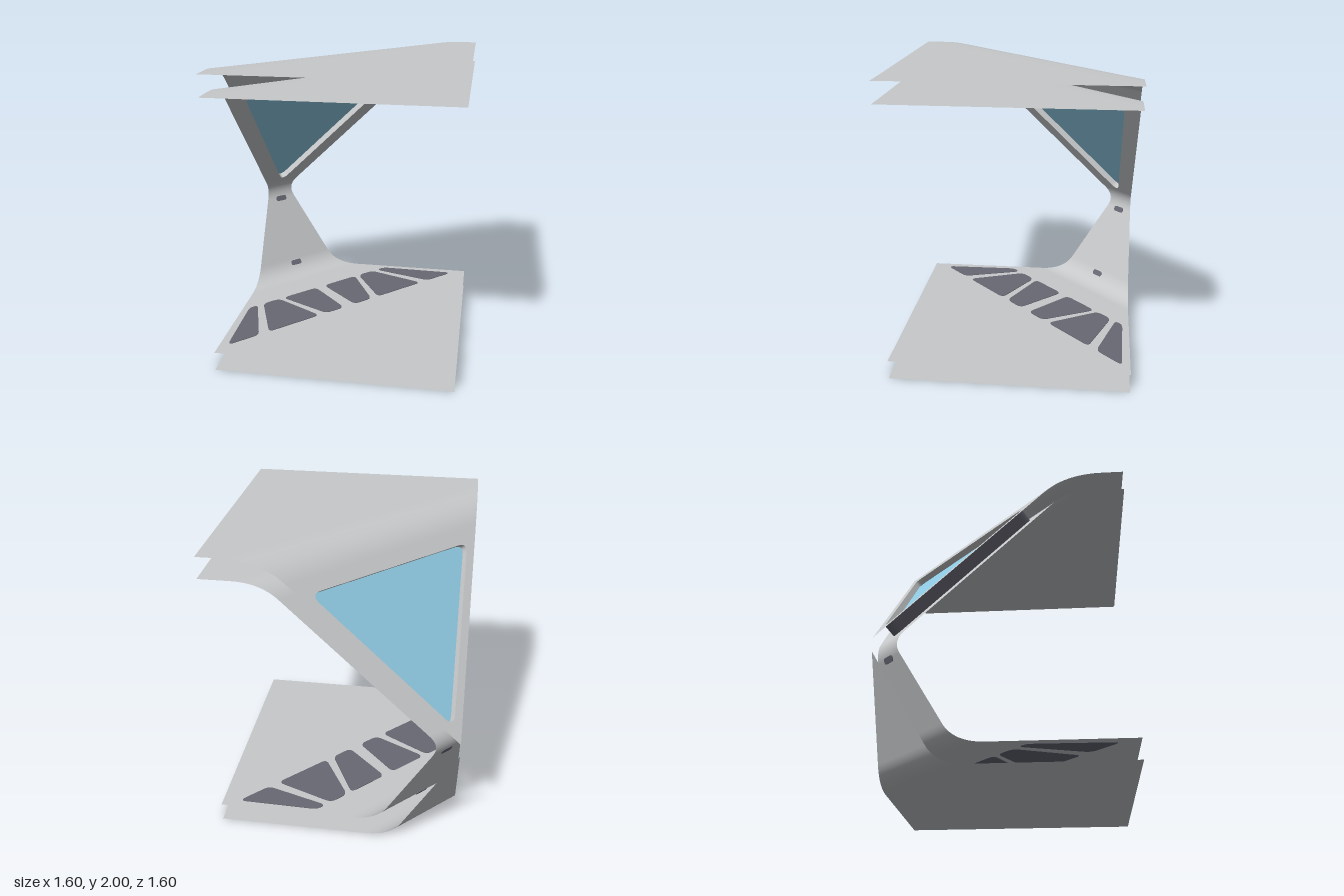
import * as THREE from 'three';

const sheetMat = new THREE.MeshStandardMaterial({ color: 0xc6c8ca, side: THREE.DoubleSide });
sheetMat.name = 'paleGrey';
const darkMat = new THREE.MeshStandardMaterial({ color: 0x676873, side: THREE.DoubleSide });
darkMat.name = 'darkGrey';
const glassMat = new THREE.MeshStandardMaterial({ color: 0x8ecae2, side: THREE.DoubleSide });
glassMat.name = 'skyBlue';

// Local frame: x runs across the fold, y is up, z is the distance from the folded corner
const DIAGONAL = 1.6 * Math.SQRT2;
const SLOPE = 1.368;                       // rise of the window wall
const COS = 1 / Math.hypot(1, SLOPE);
const SIN = SLOPE * COS;
const GAP = 0.0873;                        // distance between the two skins
const TIP_Y = 0.825;

function mesh(name, geometry, material) {
  const m = new THREE.Mesh(geometry, material);
  m.name = name;
  return m;
}

// Surface between two rows of points
function ribbon(name, a, b, material) {
  const pos = [], index = [];
  a.forEach((p, i) => {
    pos.push(...p.toArray(), ...b[i].toArray());
    if (i) index.push(2 * i - 2, 2 * i - 1, 2 * i, 2 * i - 1, 2 * i + 1, 2 * i);
  });
  const g = new THREE.BufferGeometry();
  g.setAttribute('position', new THREE.Float32BufferAttribute(pos, 3));
  g.setIndex(index);
  g.computeVertexNormals();
  return mesh(name, g, material);
}

// Polyline of [z, y, trim] corners with each trimmed corner rounded
function roundedProfile(corners) {
  const pts = corners.map(([z, y]) => new THREE.Vector2(z, y));
  const out = [];
  pts.forEach((p, i) => {
    const r = corners[i][2];
    if (!r) { out.push(p); return; }
    const toward = q => p.clone().add(q.clone().sub(p).setLength(r));
    out.push(...new THREE.QuadraticBezierCurve(toward(pts[i - 1]), p, toward(pts[i + 1])).getPoints(16));
  });
  return out;
}

// Folded sheet that follows a profile and is cut to the square footprint
function sheet(name, corners) {
  const profile = roundedProfile(corners);
  const side = s => profile.map(p =>
    new THREE.Vector3(s * Math.max(0, Math.min(p.x, DIAGONAL - p.x)), p.y, p.x));
  return ribbon(name, side(-1), side(1), sheetMat);
}

// Closed polygon with rounded corners
function roundedPolygon(points, r, ShapeType = THREE.Shape) {
  const s = new ShapeType();
  const pts = points.map(p => new THREE.Vector2(...p));
  const n = pts.length;
  pts.forEach((p, i) => {
    const step = q => p.clone().add(q.clone().sub(p).setLength(Math.min(r, q.distanceTo(p) * 0.45)));
    const a = step(pts[(i + n - 1) % n]), b = step(pts[(i + 1) % n]);
    if (i) s.lineTo(a.x, a.y); else s.moveTo(a.x, a.y);
    s.quadraticCurveTo(p.x, p.y, b.x, b.y);
  });
  s.closePath();
  return s;
}

// Window outline in the plane of the sloping wall, grown outward by e
const windowPoints = e => {
  const v0 = 0.07 / COS - 2 * e, v1 = 0.70 / COS + e;
  const w = 0.63 + 1.7 * e;
  return [[0, v0], [w, v1], [-w, v1]];
};

// Wall skin with the window opening; z0..z1 are distances from the folded corner
function windowWall(name, depth, z0, z1) {
  const shift = depth * SIN;
  const v0 = (z0 - shift) / COS, v1 = (z1 - shift) / COS;
  const shape = new THREE.Shape();
  shape.moveTo(-z0, v0);
  if (z0 > 0) shape.lineTo(z0, v0);
  shape.lineTo(z1, v1);
  shape.lineTo(-z1, v1);
  shape.closePath();
  shape.holes.push(roundedPolygon(windowPoints(0), 0.08, THREE.Path));
  const m = mesh(name, new THREE.ShapeGeometry(shape, 10), sheetMat);
  m.position.z = depth;
  return m;
}

// Lining of the window opening between the skins
function lining(name, grow, material) {
  const loop = roundedPolygon(windowPoints(grow), 0.08).getPoints(10);
  const row = z => loop.map(p => new THREE.Vector3(p.x, p.y, z));
  // split at every point so that straight edges stay crisp
  const g = ribbon(name, row(0), row(GAP), material);
  g.geometry = g.geometry.toNonIndexed();
  g.geometry.computeVertexNormals();
  return g;
}

function thinPlate(name, shape) {
  const g = new THREE.ExtrudeGeometry(shape, { depth: 0.008, bevelEnabled: false, curveSegments: 6 });
  g.translate(0, 0, -0.004);
  return mesh(name, g, darkMat);
}

export function createModel() {
  const model = new THREE.Group();
  model.name = 'foldedPavilion';
  const body = new THREE.Group();
  body.name = 'foldedSheets';
  body.position.set(-0.8, 0, -0.8);
  body.rotation.y = Math.PI / 4;
  model.add(body);

  // Outer and inner slope heights, roof corners and where their bends begin
  const innerTipY = TIP_Y - GAP * COS, innerTipZ = GAP * SIN;
  const innerY = z => innerTipY + (z - innerTipZ) * SLOPE;
  const outerBend = 0.173, innerBend = 0.125;
  const outerCorner = (2 - TIP_Y) / SLOPE;
  const innerCorner = innerTipZ + (1.86 - innerTipY) / SLOPE;
  const outerStart = outerCorner - outerBend * COS;
  const innerStart = innerCorner - innerBend * COS;
  const waistEnd = 0.14;
  const half = DIAGONAL / 2;

  // Roof sheets
  body.add(sheet('outerRoof', [
    [outerStart, TIP_Y + outerStart * SLOPE], [outerCorner, 2, outerBend],
    [half, 2], [DIAGONAL, 2]]));
  body.add(sheet('innerRoof', [
    [innerStart, innerY(innerStart)], [innerCorner, 1.86, innerBend],
    [half, 1.86], [DIAGONAL, 1.86]]));

  // Base sheets; the inner one rises through the narrow waist
  body.add(sheet('outerBase', [[0, 0.73], [0.3, 0, 0.13], [half, 0], [DIAGONAL, 0]]));
  body.add(sheet('innerBase', [
    [waistEnd, innerY(waistEnd)], [0.087, 0.796, 0.089], [0.369, 0.13, 0.13],
    [half, 0.13], [DIAGONAL, 0.13]]));

  // Sloping wall with the triangular window
  const wall = new THREE.Group();
  wall.name = 'windowWall';
  wall.position.y = TIP_Y;
  wall.rotation.x = Math.PI / 2 - Math.atan(SLOPE);
  wall.add(windowWall('outerWall', 0, 0, outerStart));
  wall.add(windowWall('innerWall', GAP, waistEnd, innerStart));
  wall.add(lining('windowLining', 0, sheetMat));
  wall.add(lining('windowLiningBack', 0.006, darkMat));
  const glass = mesh('windowGlass',
    new THREE.ShapeGeometry(roundedPolygon(windowPoints(0), 0.08), 10), glassMat);
  glass.position.z = GAP / 2;
  wall.add(glass);
  body.add(wall);

  // Row of floor vents: [near left, near right, far left, far right] across the fold
  const vents = [
    [0.04, 0.335, 0.05, 0.205],
    [0.375, 0.51, 0.27, 0.69],
    [0.56, 0.63, 0.77, 1.01],
  ];
  for (const s of [-1, 1]) {
    for (const [a, b, c, d] of vents) {
      const shape = roundedPolygon([[s * a, 0.695], [s * b, 0.695], [s * d, 1.09], [s * c, 1.09]], 0.045);
      const vent = thinPlate('floorVent', shape);
      vent.rotation.x = Math.PI / 2;
      vent.position.y = 0.13;
      body.add(vent);
    }
  }

  // Small slots on the rising leg
  for (const [y, z, tilt] of [[0.71, 0.123, -0.36], [0.215, 0.336, -0.56]]) {
    const slot = thinPlate('legSlot',
      roundedPolygon([[-0.045, -0.02], [0.045, -0.02], [0.045, 0.02], [-0.045, 0.02]], 0.018));
    slot.position.set(0, y, z);
    slot.rotation.x = tilt;
    body.add(slot);
  }
  return model;
}
